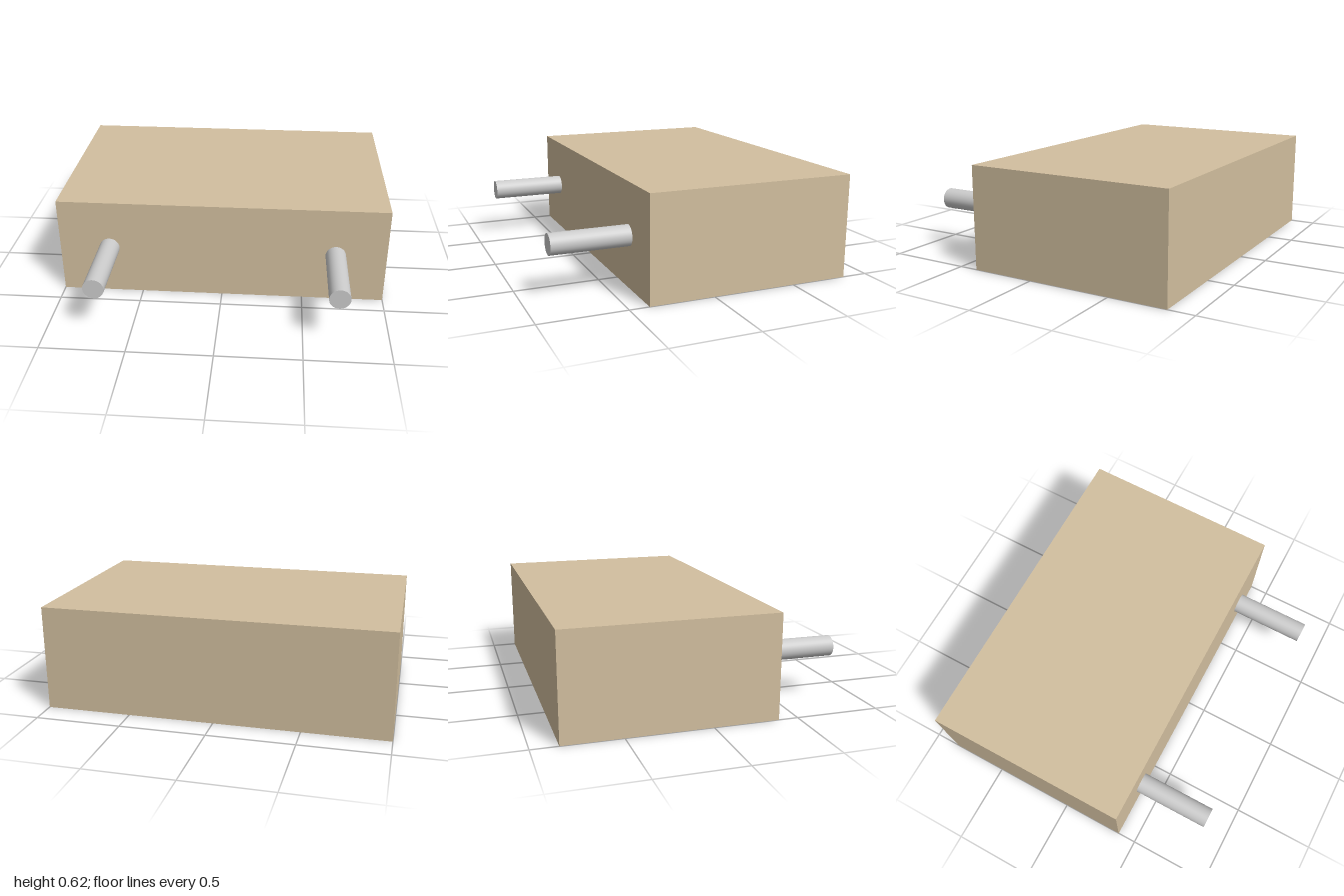
import * as THREE from 'three';

export function createModel() {
  const group = new THREE.Group();
  const wood = new THREE.MeshStandardMaterial({ color: 0xd2bf9f });
  const metal = new THREE.MeshStandardMaterial({ color: 0xcccccc });

  // Solid block
  const height = 0.615, back = -0.846, front = 0.385, pegEnd = 0.846;
  const block = new THREE.Mesh(new THREE.BoxGeometry(2, height, front - back), wood);
  block.name = 'block';
  block.position.set(0, height / 2, (front + back) / 2);
  group.add(block);

  // Two round pegs standing out of the front face
  const pegLength = pegEnd - front;
  const pegGeometry = new THREE.CylinderGeometry(0.0615, 0.0615, pegLength, 32).rotateX(Math.PI / 2);
  for (const side of [1, -1]) {
    const peg = new THREE.Mesh(pegGeometry, metal);
    peg.name = side > 0 ? 'leftPeg' : 'rightPeg';
    peg.position.set(side * 0.692, 0.31, front + pegLength / 2);
    group.add(peg);
  }
  return group;
}
